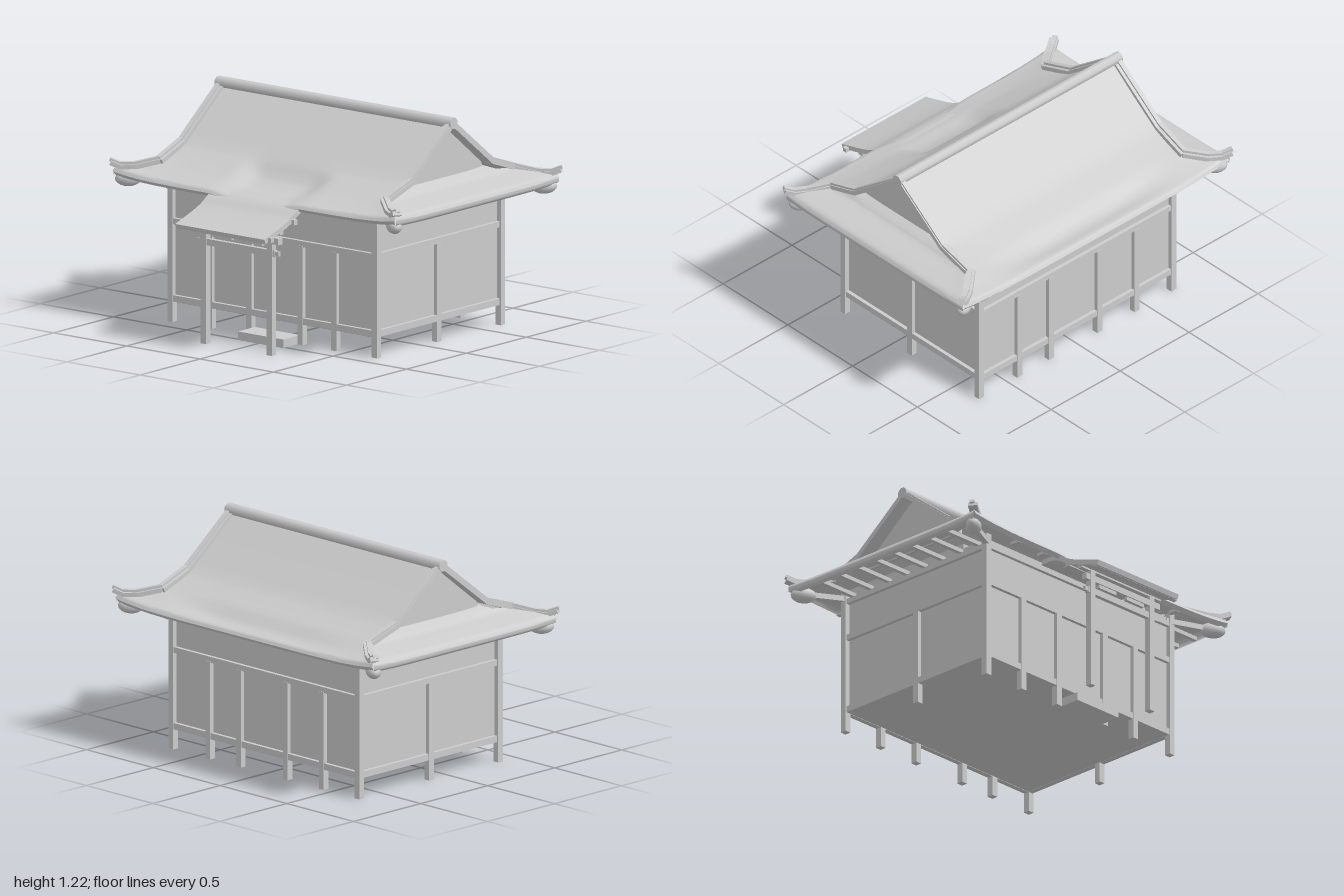
import * as THREE from 'three';
import { toCreasedNormals } from 'three/addons/utils/BufferGeometryUtils.js';

const RIDGE_Z = -0.135; // the main roof is symmetric about this line

export function createModel() {
  const model = new THREE.Group();
  model.name = 'woodenHall';
  // double sided because the roof is an open sheet seen from below
  const grey = new THREE.MeshStandardMaterial({ color: 0xcccccc, side: THREE.DoubleSide });
  grey.name = 'plain grey';

  const add = (name, geo, parent = model) => {
    const m = new THREE.Mesh(geo, grey);
    m.name = name;
    parent.add(m);
    return m;
  };
  const box = (name, x0, x1, y0, y1, z0, z1) => {
    const m = add(name, new THREE.BoxGeometry(x1 - x0, y1 - y0, z1 - z0));
    m.position.set((x0 + x1) / 2, (y0 + y1) / 2, (z0 + z1) / 2);
    return m;
  };
  const post = (name, x, z, top, w = 0.036) =>
    box(name, x - w / 2, x + w / 2, 0, top, z - w / 2, z + w / 2);
  // beam made of straight pieces along a path
  const beam = (name, pts, w, h) => {
    const g = new THREE.Group();
    g.name = name;
    model.add(g);
    for (let i = 0; i < pts.length - 1; i++) {
      const a = new THREE.Vector3(...pts[i]), b = new THREE.Vector3(...pts[i + 1]);
      const m = add(name + 'Piece', new THREE.BoxGeometry(w, h, a.distanceTo(b) + 0.01), g);
      m.position.copy(a).lerp(b, 0.5);
      m.lookAt(b);
    }
  };

  // ---- walls, posts and rails
  const X = 0.692, ZF = 0.38, ZB = -0.655;
  box('walls', -X + 0.005, X - 0.005, 0.112, 0.8, ZB + 0.005, ZF - 0.005);
  box('upperWalls', -X + 0.005, X - 0.005, 0.8, 0.828, ZB + 0.005, 0.2);
  for (const z of [ZF, ZB]) {
    for (const x of [-X - 0.005, X + 0.005]) post('cornerPost', x, z, 0.82);
    for (const x of [-0.43, -0.16, 0.19, 0.42]) post('wallPost', x, z, 0.535);
  }
  for (const x of [-X, X]) post('sidePost', x, -0.13, 0.535);
  for (const [y0, y1] of [[0.11, 0.145], [0.53, 0.562], [0.742, 0.77]]) {
    for (const z of [ZF, ZB]) box('wallRail', -X, X, y0, y1, z - 0.015, z + 0.015);
    for (const x of [-X, X]) box('sideRail', x - 0.015, x + 0.015, y0, y1, ZB, ZF);
  }
  box('frontStep', -0.14, 0.17, 0, 0.045, 0.37, 0.512);

  // ---- roof sheets: rows of [distance out, height, half width, corner lift]
  const sheet = (name, rows, place, dip = () => 0, cols = 40, sub = 3) => {
    const pos = [], idx = [], fine = [];
    rows.forEach((r, i) => {
      if (i === rows.length - 1) return fine.push(r);
      for (let k = 0; k < sub; k++) fine.push(r.map((v, j) => v + (rows[i + 1][j] - v) * k / sub));
    });
    fine.forEach(([d, y, half, lift], r) => {
      for (let c = 0; c <= cols; c++) {
        const u = (c / cols) * 2 - 1, s = u * half;
        pos.push(...place(d, y + lift * u ** 6 - dip(s, d), s));
        if (r && c) {
          const k = r * (cols + 1) + c, p = k - cols - 1;
          idx.push(p - 1, k - 1, k, p - 1, k, p);
        }
      }
    });
    const g = new THREE.BufferGeometry();
    g.setAttribute('position', new THREE.Float32BufferAttribute(pos, 3));
    g.setIndex(idx);
    add(name, toCreasedNormals(g, 0.9));
  };
  const ramp = THREE.MathUtils.smoothstep;
  const slope = [
    [0, 1.185, 0.775, 0], [0.17, 1.047, 0.775, 0], [0.335, 0.92, 0.775, 0],
    [0.44, 0.872, 0.775, 0.005], [0.535, 0.832, 0.785, 0.015], [0.62, 0.808, 0.89, 0.02],
    [0.675, 0.795, 0.955, 0.03], [0.687, 0.777, 0.96, 0.025], [0.668, 0.758, 0.95, 0.02],
  ];
  // hollow above the porch, and a shallow sag along the back eave
  const frontDip = (x, d) => (1 - ramp(Math.abs(x), 0.16, 0.32))
    * (0.045 * ramp(d, 0.345, 0.41) - 0.023 * ramp(d, 0.46, 0.6));
  const backDip = (x, d) => (1 - ramp(Math.abs(x), 0.25, 0.75))
    * (0.03 * ramp(d, 0.48, 0.57) - 0.03 * ramp(d, 0.57, 0.67));
  sheet('frontRoof', slope, (d, y, s) => [s, y, RIDGE_Z + d], frontDip);
  sheet('backRoof', slope, (d, y, s) => [-s, y, RIDGE_Z - d], backDip);
  const skirt = [
    [0.7, 0.895, 0.33], [0.765, 0.866, 0.4], [0.785, 0.852, 0.535], [0.88, 0.835, 0.615],
    [0.95, 0.82, 0.672], [0.968, 0.8, 0.68], [0.965, 0.775, 0.68], [0.95, 0.762, 0.66],
  ].map((r) => [...r, 0.008]);
  for (const s of [1, -1]) {
    sheet('sideRoof', skirt, (d, y, u) => [s * d, y, RIDGE_Z - s * u], undefined, 24);
  }

  // ---- gable ends
  for (const s of [1, -1]) {
    const tri = new THREE.Shape([
      new THREE.Vector2(-0.34, 0.88), new THREE.Vector2(0.34, 0.88),
      new THREE.Vector2(0.335, 0.915), new THREE.Vector2(0, 1.18), new THREE.Vector2(-0.335, 0.915)]);
    const g = new THREE.ExtrudeGeometry(tri, { depth: 0.02, bevelEnabled: false });
    g.rotateY(Math.PI / 2);
    add('gable', g).position.set(s * 0.71 - 0.01, 0, RIDGE_Z);
  }

  // ---- ridge and verge beams running out to the upturned corners
  const ridge = add('ridge', new THREE.CylinderGeometry(0.032, 0.032, 1.61, 8).rotateY(Math.PI / 8));
  ridge.rotation.z = Math.PI / 2;
  ridge.position.set(0, 1.193, RIDGE_Z);
  for (const sx of [1, -1]) for (const sz of [1, -1]) {
    const path = (dx, dy) => [
      [0.778, 1.187, 0], [0.778, 0.927, 0.335], [0.772, 0.86, 0.532],
      [0.87, 0.83, 0.615], [0.93, 0.828, 0.655], [0.974, 0.848, 0.682],
    ].map(([x, y, d]) => [sx * (x + dx), y + dy, RIDGE_Z + sz * d]);
    beam('vergeBeam', path(0, 0), 0.05, 0.024);
    beam('vergeCap', path(0.006, 0.016), 0.026, 0.018);

    // rounded hip rafter end below the corner
    const roll = add('cornerRoll', new THREE.SphereGeometry(1, 16, 10));
    roll.scale.set(0.042, 0.042, 0.07);
    roll.position.set(sx * 0.908, 0.762, RIDGE_Z + sz * 0.625);
    roll.rotation.y = Math.atan2(sx, sz * 0.75);
    beam('hipRafter', [[sx * 0.68, 0.775, RIDGE_Z + sz * 0.51],
      [sx * 0.9, 0.765, RIDGE_Z + sz * 0.62]], 0.03, 0.03);
  }

  // ---- rafters under the eaves
  for (const s of [1, -1]) {
    for (let i = 0; i < 8; i++) {
      const z = RIDGE_Z - 0.46 + i * 0.92 / 7;
      box('sideRafter', Math.min(s * 0.69, s * 0.95), Math.max(s * 0.69, s * 0.95),
        0.768, 0.79, z - 0.012, z + 0.012);
    }
    for (let i = 0; i < 7; i++) {
      const x = -0.6 + i * 0.2, a = RIDGE_Z + s * 0.61, b = RIDGE_Z + s * 0.668;
      box('eaveRafter', x - 0.012, x + 0.012, 0.757, 0.774, Math.min(a, b), Math.max(a, b));
    }
  }

  // ---- porch roof: curved slab running up into the hollow of the main roof
  const top = [[0.42, 0.788], [0.5, 0.786], [0.555, 0.768], [0.61, 0.735], [0.68, 0.706], [0.83, 0.658]];
  const curve = new THREE.CatmullRomCurve3(top.map(([z, y]) => new THREE.Vector3(z, y, 0)));
  const upper = curve.getPoints(20).map((p) => new THREE.Vector2(p.x, p.y));
  const lower = upper.map((p) => new THREE.Vector2(p.x - 0.01, p.y - 0.026)).reverse();
  const slab = new THREE.ExtrudeGeometry(new THREE.Shape([...upper, ...lower]),
    { depth: 0.61, bevelEnabled: false });
  slab.rotateY(-Math.PI / 2);
  add('porchRoof', toCreasedNormals(slab, 0.5)).position.x = 0.3;

  // ---- porch frame
  for (const x of [-0.22, 0.23]) post('porchPost', x, 0.685, 0.68);
  box('porchLintel', -0.25, 0.26, 0.535, 0.57, 0.673, 0.697);
  box('porchLintelTenon', -0.27, 0.285, 0.54, 0.565, 0.676, 0.694);
  box('porchBeam', -0.27, 0.29, 0.605, 0.64, 0.668, 0.702);
  for (const x of [-0.1, 0.11]) box('porchBracket', x - 0.065, x + 0.065, 0.585, 0.62, 0.675, 0.695);
  box('porchPurlin', -0.3, 0.32, 0.7, 0.728, 0.577, 0.605);
  box('porchPurlin', -0.3, 0.32, 0.638, 0.663, 0.774, 0.798);
  box('porchPurlin', -0.3, 0.3, 0.66, 0.69, 0.67, 0.7);

  return model;
}
